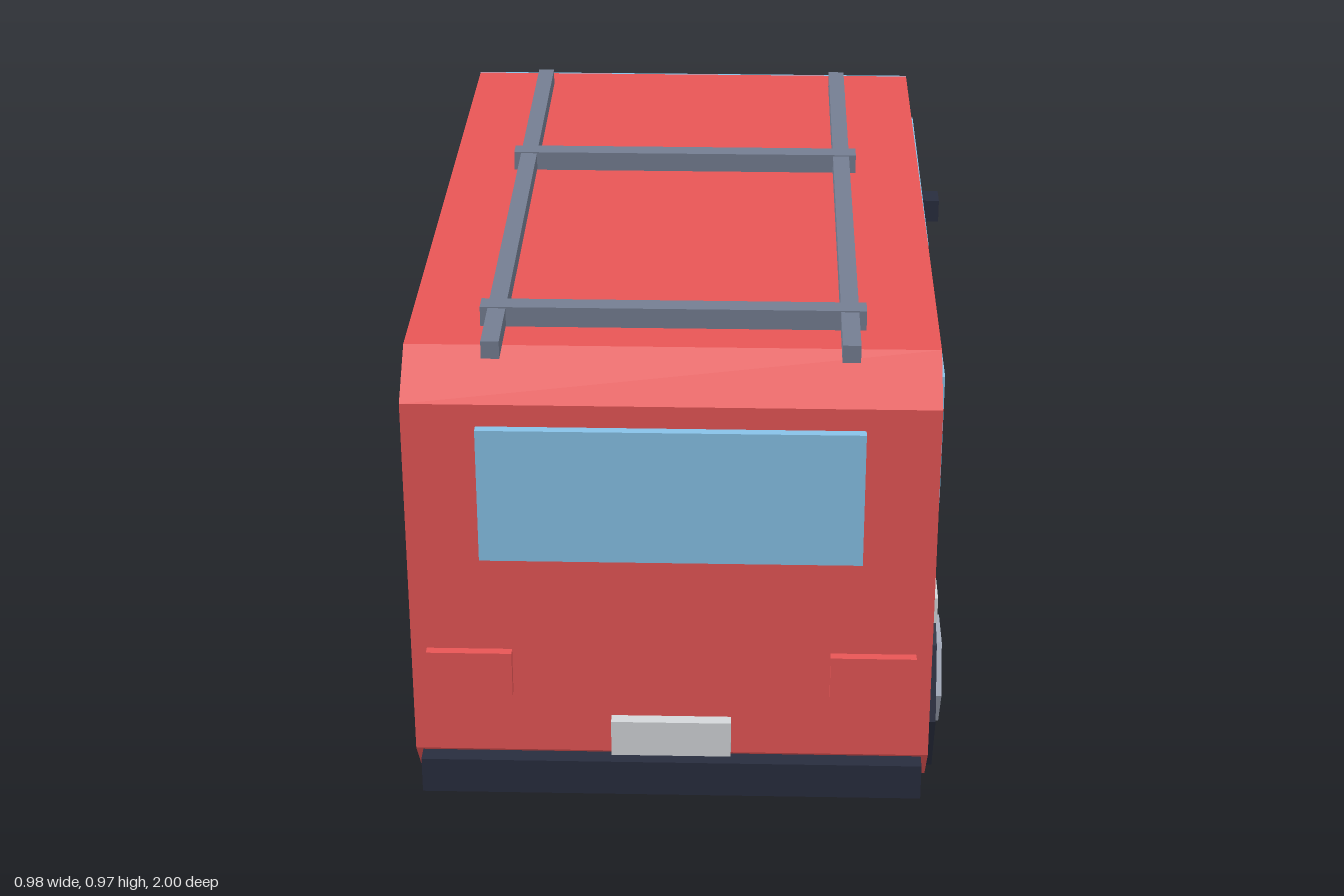
import * as THREE from 'three';

const paint = (color) => new THREE.MeshStandardMaterial({ color });

export function createModel() {
  const van = new THREE.Group();
  van.name = 'van';
  const red = paint(0xe85656), glass = paint(0x87c2e8), dark = paint(0x282d3e), steel = paint(0xa6aebe);
  const rackGrey = paint(0x747e92), trim = paint(0xd4d7da), lamp = paint(0xe0d59a);

  const add = (name, geometry, material) => {
    const mesh = new THREE.Mesh(geometry, material);
    mesh.name = name;
    van.add(mesh);
    return mesh;
  };
  // Box given by its limits on each axis
  const box = (name, material, [x0, x1], [y0, y1], [z0, z1]) =>
    add(name, new THREE.BoxGeometry(x1 - x0, y1 - y0, z1 - z0), material)
      .position.set((x0 + x1) / 2, (y0 + y1) / 2, (z0 + z1) / 2);
  // Side outline of [z, y] points, extruded across the width
  const profile = (name, material, points, width) => {
    const shape = new THREE.Shape(points.map(([z, y]) => new THREE.Vector2(z, y)));
    const geometry = new THREE.ExtrudeGeometry(shape, { depth: width, bevelEnabled: false });
    geometry.translate(0, 0, -width / 2).rotateY(-Math.PI / 2);
    add(name, geometry, material);
  };
  // Prism along x, from x0 to x1
  const disc = (name, material, radius, sides, x0, x1, y, z) => {
    const geometry = new THREE.CylinderGeometry(radius, radius, Math.abs(x1 - x0), sides).toNonIndexed();
    geometry.rotateZ(Math.PI / 2);
    geometry.computeVertexNormals();
    add(name, geometry, material).position.set((x0 + x1) / 2, y, z);
  };

  // Body shell, with the bonnet towards -z
  profile('body', red, [
    [0.92, 0.168], [0.975, 0.24], [0.975, 0.865], [0.895, 0.928], [-0.365, 0.908],
    [-0.57, 0.488], [-0.845, 0.47], [-0.97, 0.4], [-0.97, 0.24], [-0.92, 0.168],
  ], 0.828);
  profile('windscreen', glass, [[-0.57, 0.488], [-0.365, 0.908], [-0.369, 0.908], [-0.574, 0.488]], 0.828);

  // Parts repeated on both sides
  for (const s of [1, -1]) {
    const side = (a, b) => (s > 0 ? [a, b] : [-b, -a]);
    box('rearSideWindow', glass, side(0.4, 0.429), [0.6, 0.828], [0.555, 0.785]);
    box('frontSideWindow', glass, side(0.4, 0.429), [0.6, 0.828], [-0.352, 0.268]);
    box('sideStripe', trim, side(0.4, 0.427), [0.428, 0.474], [-0.595, 0.875]);
    box('mirror', dark, side(0.405, 0.491), [0.585, 0.63], [-0.458, -0.406]);
    box('tailLight', red, side(0.253, 0.389), [0.352, 0.43], [0.96, 0.99]);
    box('headlight', lamp, side(0.212, 0.35), [0.335, 0.408], [-0.987, -0.957]);
    box('roofRail', rackGrey, side(0.26, 0.288), [0.936, 0.965], [-0.23, 0.96]);
    for (const z of [0.603, -0.617]) {
      disc('tyre', dark, 0.17, 8, s * 0.322, s * 0.44, 0.171, z);
      disc('hub', steel, 0.092, 6, s * 0.4, s * 0.454, 0.172, z);
    }
  }

  // Roof rack crossbars
  for (const z of [0.18, 0.825])
    box('roofCrossbar', rackGrey, [-0.3, 0.3], [0.934, 0.967], [z - 0.016, z + 0.016]);

  // Tail end
  box('rearWindow', glass, [-0.299, 0.299], [0.6, 0.828], [0.96, 0.99]);
  box('rearPlate', trim, [-0.096, 0.096], [0.245, 0.308], [0.96, 0.995]);
  box('rearBumper', dark, [-0.403, 0.403], [0.173, 0.235], [0.925, 1]);

  // Nose
  box('grille', dark, [-0.19, 0.19], [0.278, 0.362], [-0.984, -0.957]);
  box('frontBumper', dark, [-0.403, 0.403], [0.173, 0.235], [-1, -0.925]);

  return van;
}
